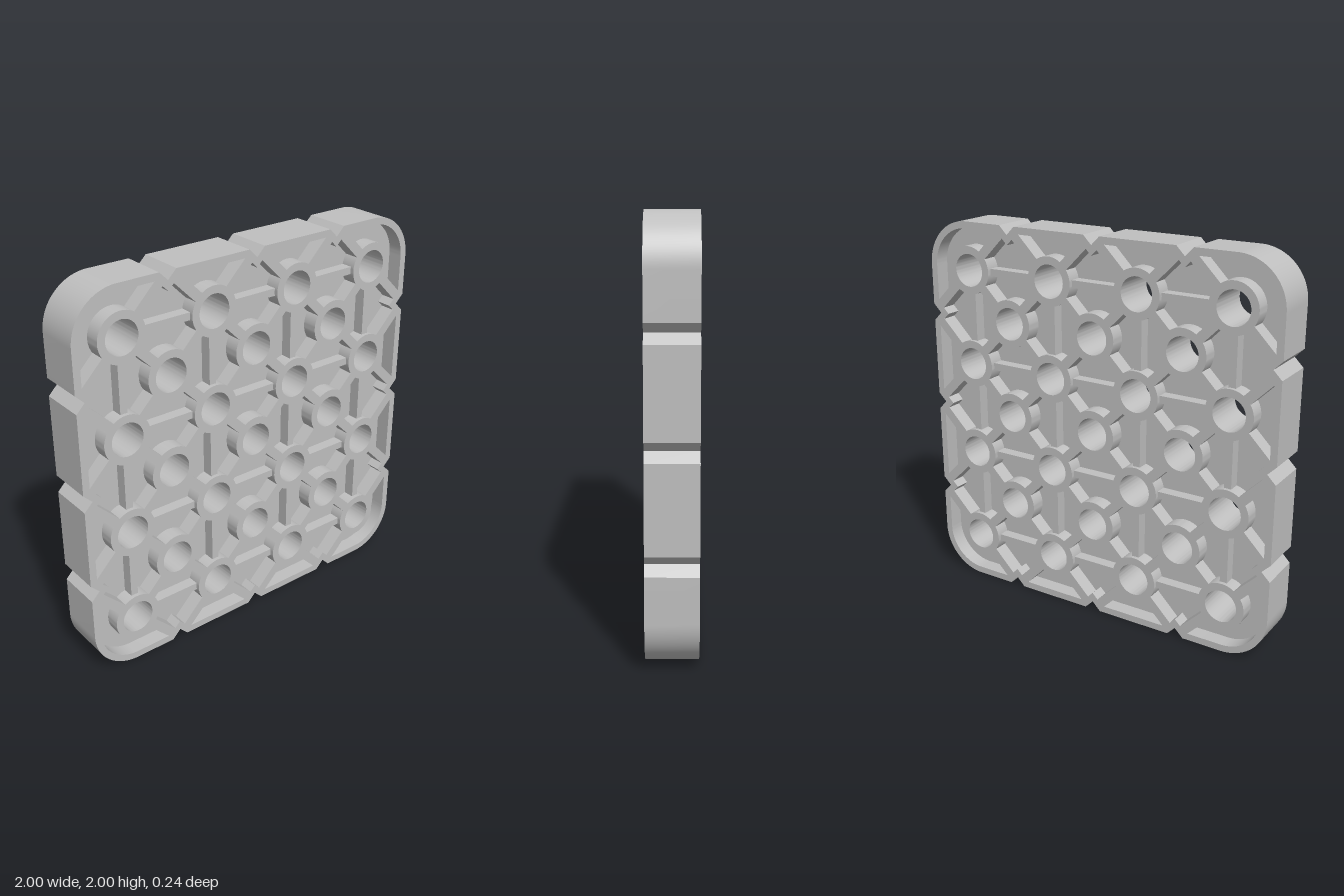
import * as THREE from 'three';
import { toCreasedNormals } from 'three/addons/utils/BufferGeometryUtils.js';

const DEPTH = 0.24, WEB = 0.08, RIB_DEPTH = 0.2;
const HOLE_R = 0.085, BOSS_R = 0.125, WALL = 0.036;
const CORNER = 0.76, NOTCH = 0.045;

// Rounded square with three V notches per side, inset by t
function traceOutline(path, t) {
  const half = 1 - t, tip = 1 - NOTCH - t * Math.SQRT2, w = half - tip;
  for (let k = 0; k < 4; k++) {
    const a = k * Math.PI / 2, c = Math.round(Math.cos(a)), s = Math.round(Math.sin(a));
    const rot = (x, y) => [x * c - y * s, x * s + y * c];
    if (k === 0) path.moveTo(-CORNER, -half);
    for (const m of [-0.5, 0, 0.5]) {
      path.lineTo(...rot(m - w, -half));
      path.lineTo(...rot(m, -tip));
      path.lineTo(...rot(m + w, -half));
    }
    path.absarc(...rot(CORNER, -CORNER), 1 - CORNER - t, a - Math.PI / 2, a, false);
  }
  return path;
}

function circle(path, x, y, r) {
  return path.absarc(x, y, r, 0, Math.PI * 2, false);
}

// Extrude centred on z = 0
function slab(shape, depth, segments) {
  const g = new THREE.ExtrudeGeometry(shape, { depth, bevelEnabled: false, curveSegments: segments });
  g.translate(0, 0, -depth / 2);
  return toCreasedNormals(g, 0.6);
}

export function createModel() {
  const model = new THREE.Group();
  model.name = 'perforatedPanel';
  const body = new THREE.Group();
  body.name = 'panelBody';
  body.position.y = 1;
  model.add(body);

  const grey = new THREE.MeshStandardMaterial({ color: 0xbfbfbf });
  grey.name = 'light grey';
  const add = (name, geometry, x = 0, y = 0, angle = 0) => {
    const mesh = new THREE.Mesh(geometry, grey);
    mesh.name = name;
    mesh.position.set(x, y, 0);
    mesh.rotation.z = angle;
    body.add(mesh);
  };

  // Two interleaved grids of holes
  const outer = [-0.75, -0.25, 0.25, 0.75], inner = [-0.5, 0, 0.5];
  const grid = (values) => values.flatMap((x) => values.map((y) => [x, y]));
  const mainHoles = grid(outer), holes = [...mainHoles, ...grid(inner)];

  // Notched rim
  const rim = traceOutline(new THREE.Shape(), 0);
  rim.holes.push(traceOutline(new THREE.Path(), WALL));
  add('rim', slab(rim, DEPTH, 16));

  // Thin web in the middle of the depth
  const web = traceOutline(new THREE.Shape(), WALL / 2);
  for (const [x, y] of holes) web.holes.push(circle(new THREE.Path(), x, y, HOLE_R + 0.01));
  add('web', slab(web, WEB, 32));

  // Round bosses around the holes
  const ring = circle(new THREE.Shape(), 0, 0, BOSS_R);
  ring.holes.push(circle(new THREE.Path(), 0, 0, HOLE_R));
  const boss = slab(ring, DEPTH, 40);
  for (const [x, y] of holes) add('boss', boss, x, y);

  // Diagonal ribs to neighbouring bosses and to the notches
  const start = 0.11;
  const makeRib = (end, width, depth) =>
    new THREE.BoxGeometry(end - start, width, depth).translate((start + end) / 2, 0, 0);
  const diagonal = makeRib(0.25 * Math.SQRT2 - start, 0.05, DEPTH);
  const toNotch = makeRib(0.31, 0.05, DEPTH);
  for (const [x, y] of mainHoles) {
    for (const sx of [-1, 1]) for (const sy of [-1, 1]) {
      const edgeX = Math.abs(x + sx * 0.25) === 1, edgeY = Math.abs(y + sy * 0.25) === 1;
      if (edgeX && edgeY) continue;
      add('diagonalRib', edgeX || edgeY ? toNotch : diagonal, x, y, Math.atan2(sy, sx));
    }
  }

  // Straight ribs along rows and columns
  const straight = makeRib(0.5 - start, 0.038, RIB_DEPTH);
  for (const [x, y] of mainHoles) {
    if (x < 0.7) add('rowRib', straight, x, y);
    if (y < 0.7) add('columnRib', straight, x, y, Math.PI / 2);
  }
  return model;
}
